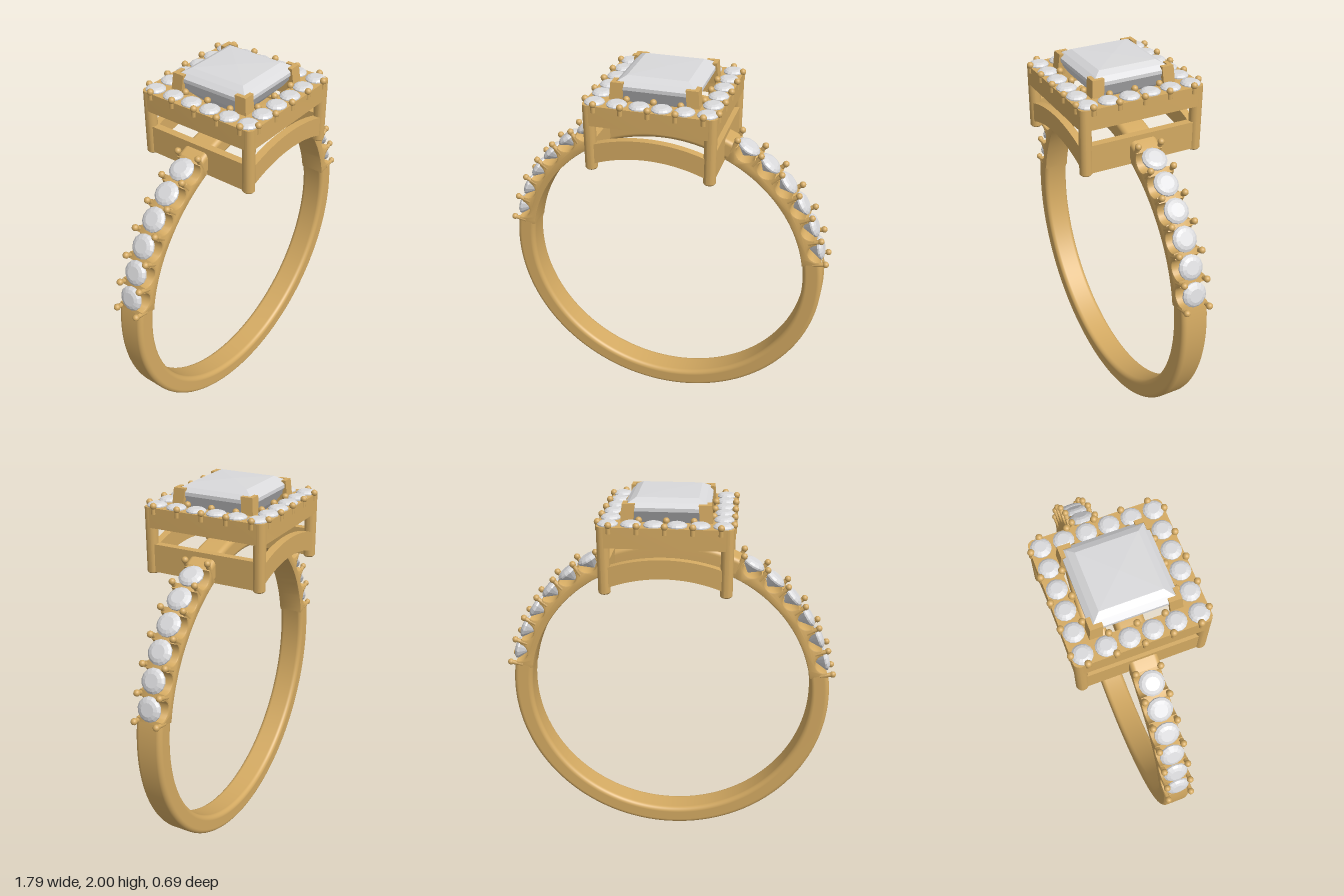
import * as THREE from 'three';
import { toCreasedNormals } from 'three/addons/utils/BufferGeometryUtils.js';

const gold = new THREE.MeshStandardMaterial({ color: 0xd4aa62 });
gold.name = 'gold';
const crystal = new THREE.MeshStandardMaterial({ color: 0xd9d9db });
crystal.name = 'clear crystal';

const RAD = Math.PI / 180;
const CY = 0.87, R_OUT = 0.87, R_IN = 0.768, HALF_W = 0.072;
const PITCH = 9.07, FIRST = 10.3, COUNT = 6;
const LAST = FIRST + PITCH * COUNT;
const V = (x, y) => new THREE.Vector2(x, y);
const polar = (r, deg) => V(r * Math.cos(deg * RAD), r * Math.sin(deg * RAD));

function add(parent, name, geometry, material, x = 0, y = 0, z = 0) {
  const mesh = new THREE.Mesh(geometry, material);
  mesh.name = name;
  mesh.position.set(x, y, z);
  parent.add(mesh);
  return mesh;
}

function flat(geometry) {
  const g = geometry.toNonIndexed();
  g.computeVertexNormals();
  return g;
}

function roundedRect(x0, y0, x1, y1, r) {
  const s = new THREE.Shape();
  s.absarc(x1 - r, y0 + r, r, -Math.PI / 2, 0);
  s.absarc(x1 - r, y1 - r, r, 0, Math.PI / 2);
  s.absarc(x0 + r, y1 - r, r, Math.PI / 2, Math.PI);
  s.absarc(x0 + r, y0 + r, r, Math.PI, Math.PI * 1.5);
  s.closePath();
  return s;
}

// Round faceted stone, girdle at y = 0
function roundGem(r) {
  return flat(new THREE.LatheGeometry([
    V(0, -r * 0.95), V(r, -r * 0.07), V(r, r * 0.07), V(r * 0.82, r * 0.23), V(r * 0.55, r * 0.33), V(0, r * 0.33),
  ], 14));
}

// Plain stretch of the band, swept between two angles
function bandArc(from, to) {
  const profile = roundedRect(R_IN, -HALF_W, R_OUT, HALF_W, 0.025).getPoints(5);
  const g = new THREE.LatheGeometry(profile, 96, (from + 90) * RAD, (to - from) * RAD);
  return g.rotateX(Math.PI / 2);
}

// Stretch of the band with a round scallop below each stone
function scallopedArc() {
  const pts = [polar(R_OUT - 0.005, FIRST - 0.7)];
  for (let i = 0; i < COUNT; i++) {
    const a = FIRST + PITCH * (i + 0.5);
    const c = polar(R_OUT - 0.008, a);
    for (let k = 0; k <= 12; k++) pts.push(polar(0.052, a - 90 - k * 15).add(c));
  }
  pts.push(polar(R_OUT - 0.005, LAST + 0.7));
  for (let k = 0; k <= 30; k++) pts.push(polar(R_IN, LAST + 0.7 - (LAST - FIRST + 1.4) * k / 30));
  const b = 0.007;
  const g = new THREE.ExtrudeGeometry(new THREE.Shape(pts), {
    depth: 2 * (HALF_W - b), bevelSize: b, bevelThickness: b, bevelOffset: -b, bevelSegments: 2,
  });
  return toCreasedNormals(g.translate(0, 0, b - HALF_W), 0.6);
}

// Small stem with a bead on its end, bead centre at y = 0
const beadGeo = new THREE.SphereGeometry(0.017, 14, 10);
function beadProng(parent, name, stem) {
  const g = new THREE.Group();
  g.name = name;
  add(g, 'bead', beadGeo, gold);
  add(g, 'stem', new THREE.CylinderGeometry(0.012, 0.012, stem, 10), gold, 0, -stem / 2, 0);
  parent.add(g);
  return g;
}

function buildShank(root) {
  const shank = new THREE.Group();
  shank.name = 'shank';
  shank.position.y = CY;
  root.add(shank);
  add(shank, 'lowerBand', bandArc(180 - FIRST, 360 + FIRST), gold);
  add(shank, 'upperBand', bandArc(LAST, 180 - LAST), gold);

  const gem = roundGem(0.063), scallops = scallopedArc();
  for (const side of [0, 1]) {
    const shoulder = new THREE.Group();
    shoulder.name = side ? 'rightShoulder' : 'leftShoulder';
    shoulder.rotation.y = side * Math.PI;
    shank.add(shoulder);
    add(shoulder, 'scallopedBand', scallops, gold);
    for (let i = 0; i <= COUNT; i++) {
      const a = FIRST + PITCH * i, p = polar(0.893, a);
      for (const z of [-0.062, 0.062]) {
        const prong = beadProng(shoulder, 'shoulderProng', 0.07);
        prong.position.set(p.x, p.y, z);
        prong.rotation.z = (a - 90) * RAD;
      }
      if (i === COUNT) break;
      const q = polar(0.866, a + PITCH / 2);
      add(shoulder, 'shoulderStone', gem, crystal, q.x, q.y, 0).rotation.z = (a + PITCH / 2 - 90) * RAD;
    }
  }
}

function buildHalo(root) {
  const halo = new THREE.Group();
  halo.name = 'halo';
  root.add(halo);

  // Stone positions around the square
  const spots = [], step = 0.111, e = 0.2775;
  for (let i = 0; i < 6; i++) for (let j = 0; j < 6; j++) {
    if (i % 5 === 0 || j % 5 === 0) spots.push(V(-e + i * step, -e + j * step));
  }

  // Square frame with an open centre and a drilled seat per stone
  const shape = roundedRect(-0.33, -0.33, 0.33, 0.33, 0.03);
  shape.holes.push(new THREE.Path([V(-0.225, -0.225), V(-0.225, 0.225), V(0.225, 0.225), V(0.225, -0.225)]));
  for (const s of spots) shape.holes.push(new THREE.Path().absarc(s.x, s.y, 0.036, 0, Math.PI * 2, true));
  const frame = new THREE.ExtrudeGeometry(shape, { depth: 0.103, bevelEnabled: false, curveSegments: 8 });
  add(halo, 'haloFrame', toCreasedNormals(frame.rotateX(-Math.PI / 2), 0.8), gold, 0, 1.79, 0);

  const gem = roundGem(0.05);
  for (const s of spots) add(halo, 'haloStone', gem, crystal, s.x, 1.895, s.y);

  // Beads along the outer and inner edges of each side
  for (let k = 0; k < 4; k++) {
    const side = new THREE.Group();
    side.name = 'haloBeads';
    side.rotation.y = k * Math.PI / 2;
    halo.add(side);
    for (const x of [-0.268, -0.134, 0, 0.134, 0.268]) {
      beadProng(side, 'outerBead', 0.04).position.set(x, 1.902, 0.328);
      if (Math.abs(x) < 0.2) beadProng(side, 'innerBead', 0.04).position.set(x, 1.902, 0.226);
    }
  }
}

function buildGallery(root) {
  const gallery = new THREE.Group();
  gallery.name = 'gallery';
  root.add(gallery);

  // Corner posts with softened feet
  const post = toCreasedNormals(new THREE.LatheGeometry([
    V(0, 1.55), V(0.025, 1.55), V(0.031, 1.557), V(0.031, 1.893), V(0, 1.893),
  ], 20), 0.6);
  for (const x of [-0.3, 0.3]) for (const z of [-0.3, 0.3]) add(gallery, 'cornerPost', post, gold, x, 0, z);

  // Arched front and back rails following the band
  const half = Math.asin(0.3 / R_OUT), halfIn = Math.asin(0.3 / R_IN), mid = Math.PI / 2;
  const arch = new THREE.Shape();
  arch.absarc(0, CY, R_OUT - 0.005, mid - half, mid + half, false);
  arch.absarc(0, CY, R_IN, mid + halfIn, mid - halfIn, true);
  arch.closePath();
  const rail = toCreasedNormals(new THREE.ExtrudeGeometry(arch, { depth: 0.04, bevelEnabled: false, curveSegments: 24 }), 0.5);
  add(gallery, 'frontRail', rail, gold, 0, 0, 0.28);
  add(gallery, 'backRail', rail, gold, 0, 0, -0.32);

  // Straight side rails
  for (const x of [-0.3, 0.3]) add(gallery, 'sideRail', new THREE.BoxGeometry(0.04, 0.145, 0.58), gold, x, 1.632, 0);
}

function buildCentreStone(root) {
  const setting = new THREE.Group();
  setting.name = 'centreSetting';
  root.add(setting);

  // Square-cut stone: half widths and heights from tip to table
  const levels = [[0, 1.74], [0.09, 1.79], [0.165, 1.87], [0.21, 1.94], [0.21, 1.958], [0.185, 1.978], [0.152, 1.996], [0, 2]];
  const stone = new THREE.LatheGeometry(levels.map(([s, y]) => V(s * Math.SQRT2, y)), 4);
  add(setting, 'centreStone', flat(stone.rotateY(Math.PI / 4)), crystal);

  // V-shaped corner prongs, leaning slightly inward
  const o = 0.228, t = 0.022, l = 0.062;
  const vee = new THREE.Shape([V(o, o), V(o - l, o), V(o - l, o - t), V(o - t, o - t), V(o - t, o - l), V(o, o - l)]);
  const g = new THREE.ExtrudeGeometry(vee, { depth: 0.13, bevelEnabled: false }).rotateX(-Math.PI / 2);
  const p = g.attributes.position;
  for (let i = 0; i < p.count; i++) {
    if (p.getY(i) > 0.1) p.setXYZ(i, p.getX(i) - 0.012, p.getY(i), p.getZ(i) + 0.012);
  }
  g.computeVertexNormals();
  for (let k = 0; k < 4; k++) add(setting, 'cornerProng', g, gold, 0, 1.847, 0).rotation.y = k * Math.PI / 2;
}

export function createModel() {
  const root = new THREE.Group();
  root.name = 'haloRing';
  buildShank(root);
  buildHalo(root);
  buildGallery(root);
  buildCentreStone(root);
  return root;
}
